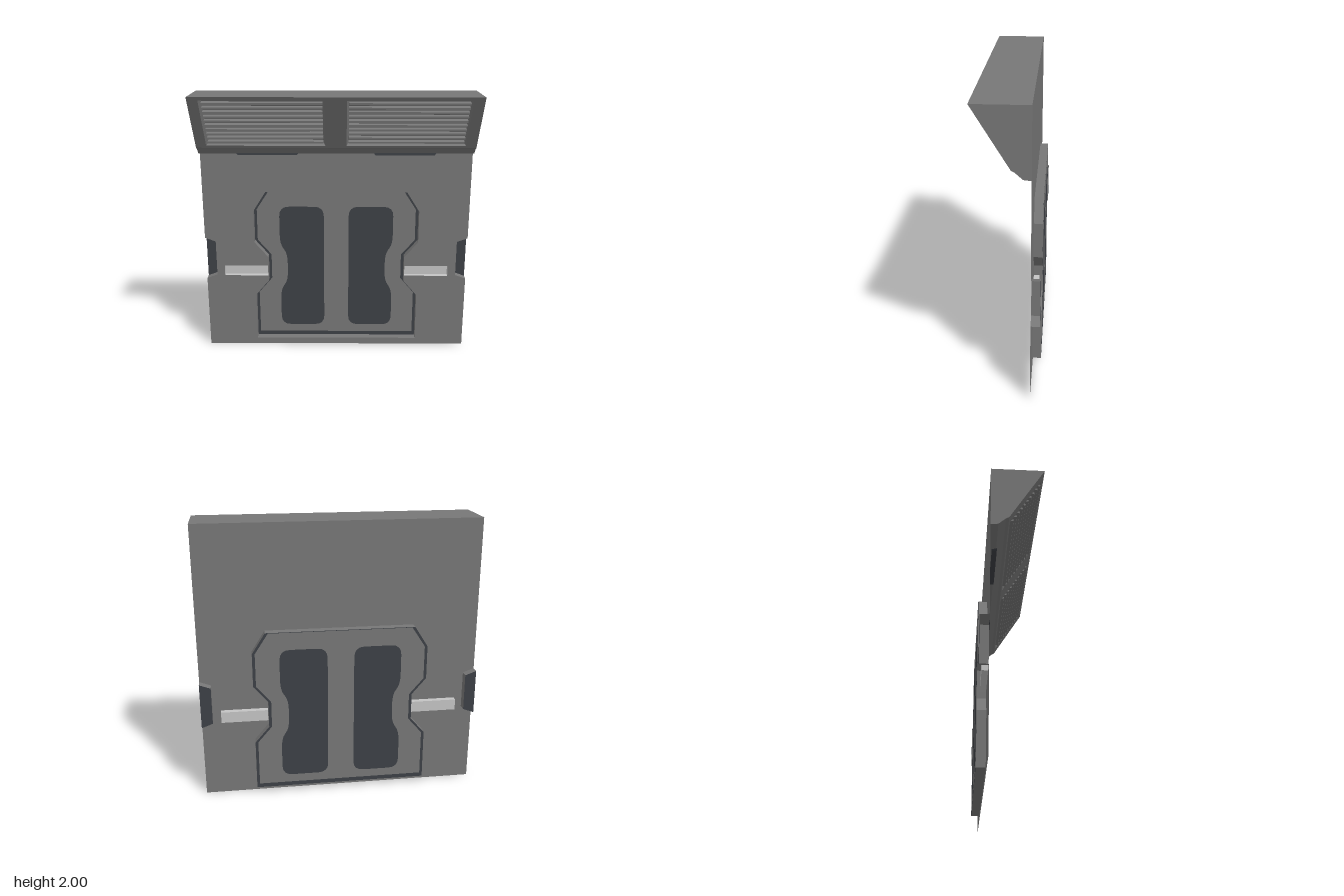
import * as THREE from 'three';

const mat = (name, color) => {
  const m = new THREE.MeshStandardMaterial({ color, side: THREE.DoubleSide });
  m.name = name;
  return m;
};

const mirror = (pts, s) => pts.map(([x, y]) => [x * s, y]);
const toVecs = (pts) => pts.map(([x, y]) => new THREE.Vector2(x, y));
const rect = (x0, x1, y0, y1) => [[x0, y0], [x1, y0], [x1, y1], [x0, y1]];

// Flat face from an outline with optional holes
function face(pts, z = 0, holes = []) {
  const shape = new THREE.Shape(toVecs(pts));
  shape.holes = holes.map((h) => new THREE.Path(toVecs(h)));
  return new THREE.ShapeGeometry(shape).translate(0, 0, z);
}

// Flat-shaded strip joining outline a at z0 to outline b at z1
function band(a, z0, b, z1, closed = true) {
  const pos = [];
  const n = a.length;
  for (let i = 0; i < (closed ? n : n - 1); i++) {
    const j = (i + 1) % n;
    const p = [...a[i], z0], q = [...a[j], z0], r = [...b[j], z1], s = [...b[i], z1];
    pos.push(...p, ...q, ...r, ...p, ...r, ...s);
  }
  const g = new THREE.BufferGeometry();
  g.setAttribute('position', new THREE.Float32BufferAttribute(pos, 3));
  g.computeVertexNormals();
  return g;
}

// Softens the corners of a polygon
function rounded(pts, radius) {
  const out = [];
  pts.forEach((p, i) => {
    const c = new THREE.Vector2(...p);
    const toward = (q) => {
      const d = new THREE.Vector2(...q).sub(c);
      return d.setLength(Math.min(radius, d.length() * 0.45)).add(c);
    };
    const start = toward(pts[(i + pts.length - 1) % pts.length]);
    const end = toward(pts[(i + 1) % pts.length]);
    new THREE.QuadraticBezierCurve(start, c, end).getPoints(4).forEach((v) => out.push([v.x, v.y]));
  });
  return out;
}

export function createModel() {
  const model = new THREE.Group();
  const grey = mat('panel grey', 0x777777);
  const dark = mat('dark slate', 0x3d4046);
  const light = mat('light grey', 0xc4c4c4);
  const add = (name, geo, material, parent = model) => {
    const m = new THREE.Mesh(geo, material);
    m.name = name;
    parent.add(m);
    return m;
  };

  const WALL = -0.15, FLOOR = -0.21, BAR = -0.19;

  // Outlines of the pressed-in areas
  const half = [[0.625, 0.05], [0.625, 0.42], [0.522, 0.54], [0.522, 0.735],
    [0.625, 0.855], [0.625, 1.1], [0.53, 1.25]];
  const recess = [...half, ...mirror(half, -1).reverse()];
  const inset = recess.map(([x, y]) =>
    [x - Math.sign(x) * 0.02, y < 0.1 ? 0.08 : y > 1.2 ? 1.246 : y]);
  const bar = rect(0.526, 0.86, 0.583, 0.663);
  const notch = [[1, 0.56], [0.92, 0.59], [0.92, 0.86], [1, 0.89]];
  const pad = rounded([[0.095, 0.14], [0.435, 0.14], [0.435, 0.44], [0.378, 0.52],
    [0.378, 0.74], [0.435, 0.82], [0.435, 1.12], [0.095, 1.12]], 0.075);

  // Wall sheet with openings and notched side edges
  const edge = [[1, 0], ...notch, [1, 2]];
  add('wall', face([...edge, ...mirror(edge, -1).reverse()], WALL,
    [recess, bar, mirror(bar, -1)]), grey);

  // Central pressed panel
  add('recessSides', band(recess, WALL, recess, FLOOR), grey);
  add('recessRim', face(recess, FLOOR, [inset]), dark);
  add('recessPanel', face(inset, FLOOR, [pad, mirror(pad, -1)]), grey);

  for (const s of [1, -1]) {
    const side = s > 0 ? 'left' : 'right';
    add(side + 'Pad', face(mirror(pad, s), FLOOR), dark);

    // Light bar pressed through the wall
    const b = mirror(bar, s);
    add(side + 'BarSides', band(b, WALL, b, BAR), light);
    add(side + 'BarFace', face(b, BAR), light);

    // Edge grip, open at the outer side
    const n = mirror(notch, s);
    add(side + 'GripSides', band(n, WALL, n, FLOOR, false), grey);
    add(side + 'GripFace', face(n, FLOOR), dark);
  }

  // Hood shell: profile in (z, y), swept across the width
  const hood = new THREE.Group();
  hood.name = 'hood';
  model.add(hood);
  const profile = [[-0.03, 1.61], [-0.05, 1.6], [-0.1, 1.555], [-0.15, 1.55], [-0.15, 2], [0.21, 2]];
  const sweep = (g) => g.rotateY(-Math.PI / 2);
  add('hoodUnderside', sweep(band(profile.slice(0, 4), -1, profile.slice(0, 4), 1, false)), grey, hood);
  add('hoodTop', sweep(band(profile.slice(4), -1, profile.slice(4), 1, false)), grey, hood);
  for (const x of [-1, 1]) add('hoodEnd', sweep(face(profile, -x)), grey, hood);

  // Sloping vent front, built flat and tilted onto the hood
  const front = new THREE.Group();
  front.name = 'ventFront';
  front.position.set(0, 1.61, -0.03);
  front.rotation.x = Math.atan2(0.24, 0.39);
  hood.add(front);
  const length = Math.hypot(0.24, 0.39);
  const outer = rect(0.075, 0.925, 0.02, length - 0.03);
  const inner = rect(0.09, 0.908, 0.03, length - 0.04);
  add('ventFrame', face(rect(-1, 1, 0, length), 0, [outer, mirror(outer, -1)]), grey, front);
  const slats = 10;
  for (const s of [1, -1]) {
    add('ventSides', band(mirror(outer, s), 0, mirror(inner, s), -0.03), grey, front);
    add('ventBack', face(mirror(inner, s), -0.03), grey, front);
    for (let i = 0; i < slats; i++) {
      const slat = add('slat', new THREE.BoxGeometry(0.818, 0.014, 0.04), grey, front);
      slat.position.set(s * 0.499, 0.05 + (i * (length - 0.11)) / (slats - 1), -0.012);
      slat.rotation.x = -0.35;
    }

    // Dark tab under the hood
    const tab = [[0.27, 1.565], [0.285, 1.543], [0.715, 1.543], [0.73, 1.565]];
    const t = mirror(tab, s);
    add('hoodTab', face(t, -0.095), dark, hood);
    add('hoodTabSides', band(t, -0.095, t, -0.13), dark, hood);
  }

  return model;
}
